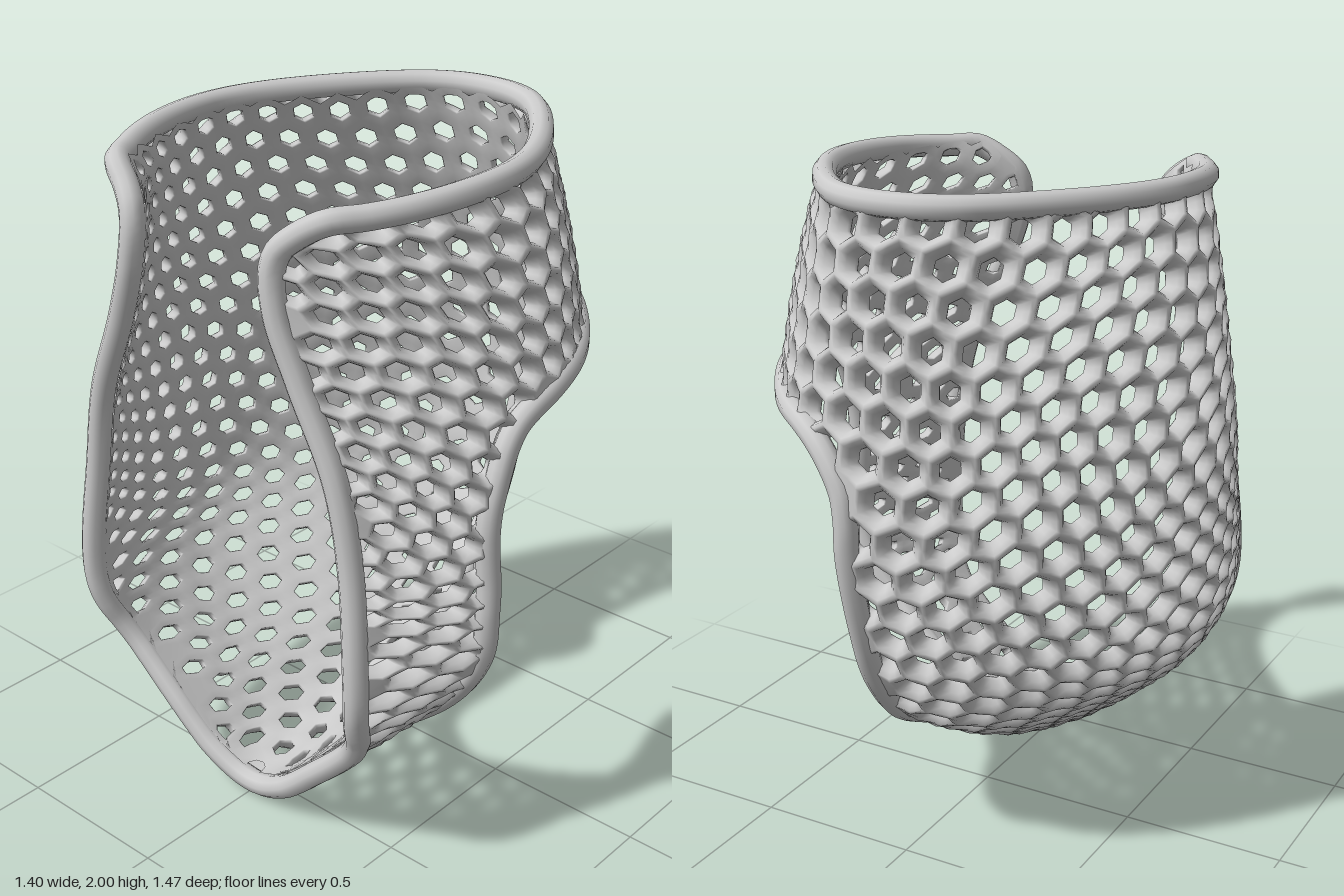
import * as THREE from 'three';
import { mergeVertices } from 'three/addons/utils/BufferGeometryUtils.js';

// Smooth interpolation of table rows keyed by their first column (descending or ascending)
function lookup(rows, key) {
  const up = rows[1][0] > rows[0][0] ? 1 : -1;
  let i = 0;
  while (i < rows.length - 2 && (key - rows[i + 1][0]) * up > 0) i++;
  const a = rows[i], b = rows[i + 1], p = rows[i - 1] || a, n = rows[i + 2] || b;
  const h = b[0] - a[0], t = THREE.MathUtils.clamp((key - a[0]) / h, 0, 1);
  return a.map((_, c) => {
    const m0 = h * (b[c] - p[c]) / (b[0] - p[0]), m1 = h * (n[c] - a[c]) / (n[0] - a[0]);
    return a[c] * (2 * t ** 3 - 3 * t * t + 1) + b[c] * (3 * t * t - 2 * t ** 3)
      + m0 * (t ** 3 - 2 * t * t + t) + m1 * (t ** 3 - t * t);
  });
}

// Level sections: y, back z, half width, z of widest point, front edge x, front edge z
const SECTIONS = [
  [1.96, -0.52, 0.53, 0.15, 0.42, 0.59], [1.85, -0.55, 0.57, 0.15, 0.27, 0.66],
  [1.7, -0.595, 0.605, 0.14, 0.26, 0.68], [1.5, -0.65, 0.637, 0.13, 0.33, 0.67],
  [1.25, -0.69, 0.662, 0.12, 0.44, 0.66], [1.0, -0.69, 0.667, 0.12, 0.49, 0.66],
  [0.7, -0.605, 0.66, 0.14, 0.52, 0.68], [0.55, -0.515, 0.6, 0.18, 0.51, 0.67],
  [0.4, -0.36, 0.475, 0.3, 0.45, 0.61], [0.2, 0, 0.26, 0.42, 0.255, 0.59],
  [0.1, 0.28, 0.14, 0.5, 0.14, 0.58], [0.052, 0.52, 0.04, 0.55, 0.04, 0.57],
];
// Fraction down the shell: height at the back ridge, height at the front edge
const LEVELS = [
  [0, 1.96, 1.93], [0.277, 1.25, 1.43], [0.37, 1.0, 1.27], [0.49, 0.7, 1.08], [0.557, 0.55, 0.97],
  [0.636, 0.4, 0.85], [0.79, 0.2, 0.53], [0.905, 0.1, 0.26], [1, 0.052, 0.052],
];
const LENGTH = 2.64, NV = 160, NU = 128;
const RIM = 0.036, RIM_LIFT = 0.012;

// Point of the half shell: v runs down, q runs from back ridge to front edge
function rawPoint(v, q) {
  const [, yBack, yFront] = lookup(LEVELS, v);
  const y = yBack + (yFront - yBack) * q * q;
  const [, zb, w, zw, xe, ze] = lookup(SECTIONS, y);
  if (q < 0.65) {
    const t = q / 0.65 * Math.PI / 2;
    return new THREE.Vector3(w * (Math.sin(t) - 0.1 * Math.sin(2 * t) ** 2), y, zw - (zw - zb) * Math.cos(t));
  }
  const f = (q - 0.65) / 0.35;
  return new THREE.Vector3(w - (w - xe) * f * f, y, zw + (ze - zw) * f);
}

// Rows of evenly spaced points, so the lattice can be laid out in true lengths
function makeSurface() {
  const rows = [], half = [];
  for (let i = 0; i <= NV; i++) {
    const pts = Array.from({ length: 41 }, (_, j) => rawPoint(i / NV, j / 40));
    const curve = new THREE.CatmullRomCurve3(pts);
    rows.push(curve.getSpacedPoints(NU));
    half.push(curve.getLength());
  }
  const split = (x, n) => {
    const c = THREE.MathUtils.clamp(x, 0, n), i = Math.min(Math.floor(c), n - 1);
    return [i, c - i];
  };
  const halfAt = (l) => {
    const [i, f] = split(l / LENGTH * NV, NV);
    return half[i] * (1 - f) + half[i + 1] * f;
  };
  const point = (s, l) => {
    const [i, f] = split(l / LENGTH * NV, NV), [j, g] = split(Math.abs(s) / halfAt(l) * NU, NU);
    const p = rows[i][j].clone().lerp(rows[i][j + 1], g)
      .lerp(rows[i + 1][j].clone().lerp(rows[i + 1][j + 1], g), f);
    if (s < 0) p.x = -p.x;
    return p;
  };
  const e = 0.02;
  const normal = (s, l) => point(s + e, l).sub(point(s - e, l))
    .cross(point(s, l + e).sub(point(s, l - e))).normalize();
  const lifted = (s, l, h) => point(s, l).addScaledVector(normal(s, l), h);
  // Lattice position of the surface point nearest to a place on the left half
  const locate = ([x, y, z]) => {
    const target = new THREE.Vector3(x, y, z);
    let best = Infinity, out;
    rows.forEach((row, i) => row.forEach((p, j) => {
      const d = p.distanceToSquared(target);
      if (d < best) { best = d; out = new THREE.Vector3(j / NU * half[i], i / NV * LENGTH, 0); }
    }));
    return out;
  };
  return { lifted, halfAt, locate };
}

// Outline of the large side opening
const OPENING = [
  [0.42, 1.36, -0.4], [0.63, 1.36, 0], [0.66, 1.3, 0.2], [0.65, 1.1, 0.285], [0.66, 0.8, 0.285],
  [0.62, 0.58, 0.28], [0.46, 0.4, 0.27], [0.29, 0.25, 0.22], [0.15, 0.2, 0.06], [0.11, 0.3, -0.15],
  [0.075, 0.42, -0.36], [0.05, 0.6, -0.54], [0.04, 0.8, -0.63], [0.045, 1.0, -0.68], [0.06, 1.2, -0.68],
  [0.17, 1.33, -0.63],
];

function insideLoop(loop, s, l) {
  let inside = false;
  for (let i = 0, j = loop.length - 1; i < loop.length; j = i++) {
    const a = loop[i], b = loop[j];
    if ((a.y > l) !== (b.y > l) && s < (b.x - a.x) * (l - a.y) / (b.y - a.y) + a.x) inside = !inside;
  }
  return inside;
}

// Perforated shell made of hexagonal cells with rounded struts
function latticeGeometry(surface, loop) {
  const R = 0.069, dx = R * Math.sqrt(3), dy = R * 1.5, N = 12;
  const pos = [], idx = [];
  const fullArea = 1.5 * Math.sqrt(3) * R * R;
  const warp = (s, l) => [s + 0.014 * Math.sin(8 * l + 5 * s), l + 0.014 * Math.sin(9 * s - 4 * l)];
  const clampPoint = ([s, l]) => {
    l = THREE.MathUtils.clamp(l, 0, LENGTH);
    const h = surface.halfAt(l);
    s = THREE.MathUtils.clamp(s, -h, h);
    if (!insideLoop(loop, s, l)) return [s, l];
    let best = Infinity, out;
    for (const p of loop) {
      const d = (p.x - s) ** 2 + (p.y - l) ** 2;
      if (d < best) { best = d; out = [p.x, p.y]; }
    }
    return out;
  };
  // ring scale, offset from the middle surface
  const open = [[1, 0.03], [0.84, 0.028], [0.66, 0.012], [0.52, -0.012], [0.5, -0.022], [0.56, -0.026], [1, -0.026]];
  const solid = [[1, 0.03], [0, 0.026], [0, -0.026], [1, -0.026]];

  function addCell(cs, cl) {
    const raw = [];
    for (let i = 0; i < N; i++) {
      const ang = i * Math.PI / 6 + Math.PI / 6, r = i % 2 ? R * Math.cos(Math.PI / 6) : R;
      raw.push(warp(cs + r * Math.cos(ang), cl + r * Math.sin(ang)));
    }
    if (raw.every(([s, l]) => insideLoop(loop, s, l))) return;
    const border = raw.map(clampPoint);
    let area = 0;
    border.forEach(([x, y], i) => {
      const [x2, y2] = border[(i + 1) % N];
      area += (x * y2 - x2 * y) / 2;
    });
    if (area < fullArea * 0.01) return;
    const mid = [0, 1].map((k) => border.reduce((t, p) => t + p[k], 0) / N);
    const profile = area > fullArea * 0.6 ? open : solid;
    const base = pos.length / 3;
    for (const [k, off] of profile) {
      border.forEach(([bs, bl], i) => {
        const s = mid[0] + (bs - mid[0]) * k, l = mid[1] + (bl - mid[1]) * k;
        // struts swell slightly where three of them meet
        const height = k === 1 && off > 0 ? (i % 2 ? 0.028 : 0.033) : off;
        pos.push(...surface.lifted(s, l, height));
      });
    }
    for (let r = 0; r < profile.length - 1; r++) {
      for (let i = 0; i < N; i++) {
        const a = base + r * N + i, b = base + r * N + (i + 1) % N;
        idx.push(a, b, b + N, a, b + N, a + N);
      }
    }
  }
  const rowCount = Math.ceil(LENGTH / dy) + 1;
  for (let row = 0; row <= rowCount; row++) {
    const l = 0.06 + row * dy;
    const reach = Math.ceil((surface.halfAt(l - dy) + dx) / dx);
    for (let c = -reach; c <= reach; c++) addCell((c + (row % 2) / 2) * dx, l);
  }
  const g = new THREE.BufferGeometry();
  g.setAttribute('position', new THREE.Float32BufferAttribute(pos, 3));
  g.setIndex(idx);
  const merged = mergeVertices(g, 1e-4);
  merged.computeVertexNormals();
  return merged;
}

export function createModel() {
  const group = new THREE.Group();
  group.name = 'latticeBrace';
  const material = new THREE.MeshStandardMaterial({ color: 0xcccccc, side: THREE.DoubleSide });
  const surface = makeSurface();
  const loop = new THREE.CatmullRomCurve3(OPENING.map(surface.locate), true).getSpacedPoints(300).slice(0, -1);

  const add = (name, geometry) => {
    const mesh = new THREE.Mesh(geometry, material);
    mesh.name = name;
    group.add(mesh);
  };
  // Rims sit slightly outwards, so the inner face stays smooth
  const rim = (name, places) => {
    const points = places.map(([s, l]) => surface.lifted(s, l, RIM_LIFT));
    add(name, new THREE.TubeGeometry(new THREE.CatmullRomCurve3(points, true), 320, RIM, 10, true));
  };

  add('latticeShell', latticeGeometry(surface, loop));

  // Rim along the top, down one front edge, round the toe and up the other
  const outer = [], top = surface.halfAt(0);
  for (let i = -15; i <= 15; i++) outer.push([i / 15 * top, 0]);
  const edge = Array.from({ length: 40 }, (_, i) => (i + 1) / 40 * LENGTH);
  for (const l of edge) outer.push([surface.halfAt(l), l]);
  for (const l of edge.reverse()) outer.push([-surface.halfAt(l), l]);
  rim('outerRim', outer);

  // Rim of the side opening
  rim('openingRim', loop.filter((_, i) => i % 5 === 0).map((p) => [p.x, p.y]));
  return group;
}
